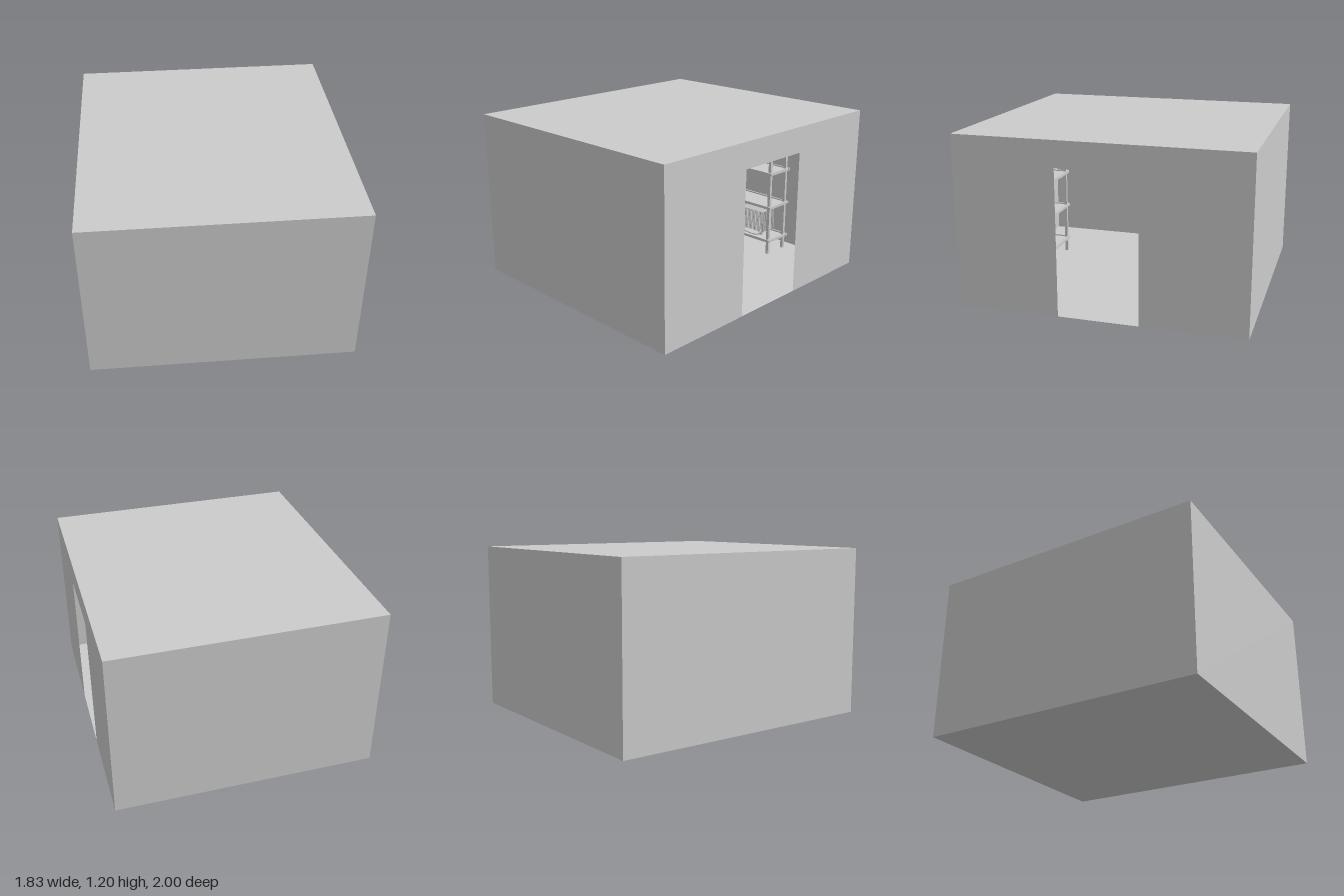
import * as THREE from 'three';

const W = 0.915, H = 1.2, D = 1; // half width, height, half depth
const grey = new THREE.MeshStandardMaterial({ color: 0xcccccc });
const thin = new THREE.MeshStandardMaterial({ color: 0xcccccc, side: THREE.DoubleSide });

function box(parent, name, size, pos) {
  const mesh = new THREE.Mesh(new THREE.BoxGeometry(...size), grey);
  mesh.position.set(...pos);
  mesh.name = name;
  parent.add(mesh);
}

function panel(parent, name, geometry, pos, rot) {
  const mesh = new THREE.Mesh(geometry, thin);
  mesh.position.set(...pos);
  mesh.rotation.set(...rot);
  mesh.name = name;
  parent.add(mesh);
}

// Paper-thin room shell with a doorway in the left wall
function createRoom() {
  const room = new THREE.Group();
  room.name = 'room';
  const q = Math.PI / 2;
  const slab = new THREE.PlaneGeometry(2 * W, 2 * D);
  const end = new THREE.PlaneGeometry(2 * W, H);
  panel(room, 'floor', slab, [0, 0, 0], [q, 0, 0]);
  panel(room, 'ceiling', slab, [0, H, 0], [-q, 0, 0]);
  panel(room, 'frontWall', end, [0, H / 2, D], [0, 0, 0]);
  panel(room, 'backWall', end, [0, H / 2, -D], [0, 2 * q, 0]);
  panel(room, 'rightWall', new THREE.PlaneGeometry(2 * D, H), [-W, H / 2, 0], [0, -q, 0]);

  const doorHalf = 0.28, doorTop = 1.02;
  const outline = [[-D, 0], [-doorHalf, 0], [-doorHalf, doorTop], [doorHalf, doorTop],
    [doorHalf, 0], [D, 0], [D, H], [-D, H]];
  const wall = new THREE.Shape(outline.map(([x, y]) => new THREE.Vector2(x, y)));
  panel(room, 'doorwayWall', new THREE.ShapeGeometry(wall), [W, 0, 0], [0, q, 0]);
  return room;
}

// Four-post shelving rack, centred on its own footprint
const LENGTH = 0.435, DEPTH = 0.21, POST = 0.022;
function createRack(name) {
  const rack = new THREE.Group();
  rack.name = name;
  const px = (LENGTH - POST) / 2, pz = (DEPTH - POST) / 2;
  for (const sx of [-1, 1]) for (const sz of [-1, 1])
    box(rack, 'post', [POST, 1.0, POST], [sx * px, 0.5, sz * pz]);
  for (const y of [0.11, 0.385, 0.66, 0.93]) {
    box(rack, 'shelf', [LENGTH - POST, 0.01, DEPTH - POST], [0, y, 0]);
    for (const s of [-1, 1]) {
      box(rack, 'longRail', [LENGTH + 0.03, 0.02, 0.012], [0, y, s * (DEPTH / 2 + 0.006)]);
      box(rack, 'endRail', [0.012, 0.02, DEPTH + 0.012], [s * (LENGTH / 2 + 0.006), y, 0]);
    }
  }
  return rack;
}

// Finned unit standing on the lower shelf
function createFinnedUnit() {
  const unit = new THREE.Group();
  unit.name = 'finnedUnit';
  box(unit, 'core', [0.22, 0.15, 0.12], [0, 0.115, 0]);
  for (let i = 0; i < 17; i++)
    box(unit, 'fin', [0.006, 0.17, 0.145], [-0.112 + i * 0.014, 0.115, 0]);
  for (let i = 0; i < 9; i++) for (const s of [-1, 1])
    box(unit, 'endFin', [0.012, 0.17, 0.006], [s * 0.118, 0.115, -0.064 + i * 0.016]);
  for (const sx of [-1, 1]) for (const sz of [-1, 1])
    box(unit, 'foot', [0.02, 0.04, 0.02], [sx * 0.09, 0.02, sz * 0.045]);

  // Cable lying in front of the unit
  const path = new THREE.CatmullRomCurve3([
    new THREE.Vector3(0.09, 0.06, 0.055), new THREE.Vector3(0.1, 0.02, 0.08),
    new THREE.Vector3(0.06, 0.006, 0.088), new THREE.Vector3(-0.05, 0.006, 0.082)]);
  const cable = new THREE.Mesh(new THREE.TubeGeometry(path, 20, 0.005, 8), grey);
  cable.name = 'cable';
  unit.add(cable);
  return unit;
}

export function createModel() {
  const model = new THREE.Group();
  model.name = 'storageRoom';
  model.add(createRoom());

  const backRack = createRack('backRack');
  backRack.position.set(0.143, 0, -0.797);
  const unit = createFinnedUnit();
  unit.position.set(0.0, 0.115, -0.01);
  backRack.add(unit);

  const frontRack = createRack('frontRack');
  frontRack.position.set(-0.143, 0, 0.797);
  frontRack.rotation.y = Math.PI;
  model.add(backRack, frontRack);
  return model;
}
